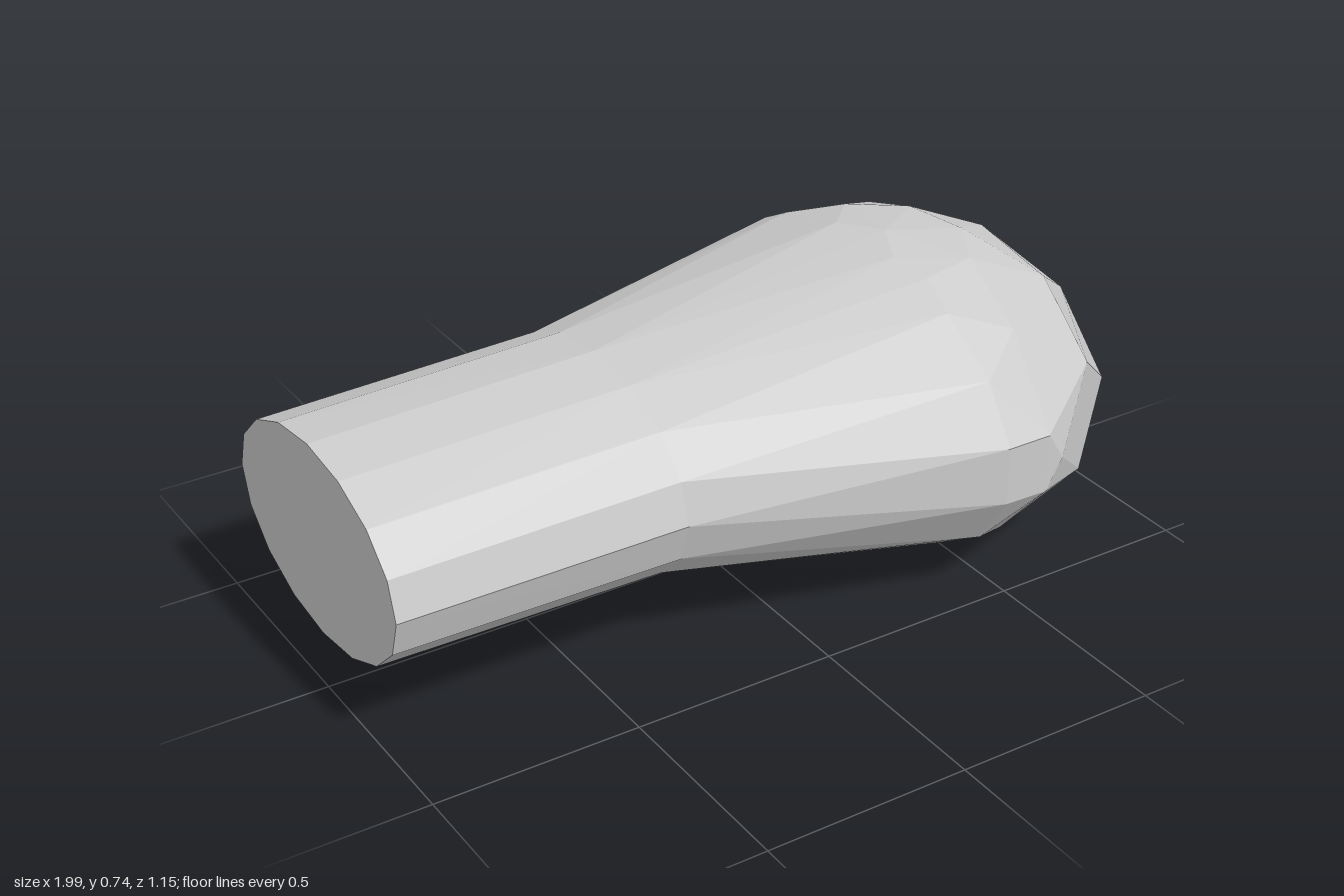
import * as THREE from 'three';
import { ConvexGeometry } from 'three/addons/geometries/ConvexGeometry.js';

const rad = THREE.MathUtils.degToRad;

// Elliptical ring of 16 points across the x axis
function ring(x, y, ry, z, rz, offset = 0) {
  return Array.from({ length: 16 }, (_, i) => {
    const a = rad(i * 22.5 + offset);
    return new THREE.Vector3(x, y + ry * Math.sin(a), z + rz * Math.cos(a));
  });
}

// Rounded head: staggered rings of eight points on a squashed sphere
function headPoints() {
  const points = [new THREE.Vector3(0.49, 0.74, 0), new THREE.Vector3(0.49, 0.003, 0)];
  [-67.5, -45, -22.5, 0, 22.5, 45, 67.5].forEach((lat, row) => {
    const offset = row % 2 ? -11.25 : 11.25;
    const r = Math.cos(rad(lat));
    for (let i = 0; i < 8; i++) {
      const a = rad(i * 45 + offset);
      const x = 0.49 + 0.51 * r * Math.cos(a);
      if (x < 0.4) continue; // the neck taper takes over here
      points.push(new THREE.Vector3(x, 0.371 + 0.372 * Math.sin(rad(lat)), 0.578 * r * Math.sin(a)));
    }
  });
  // Widest ring where the taper meets the head, and its flat side edges
  points.push(...ring(0.43, 0.371, 0.366, 0, 0.583, 11.25));
  for (const z of [-0.575, 0.575])
    for (const y of [0.3, 0.445]) points.push(new THREE.Vector3(0.54, y, z));
  return points;
}

export function createModel() {
  const group = new THREE.Group();
  const material = new THREE.MeshStandardMaterial({ color: 0xcccccc, flatShading: true });
  const add = (name, points) => {
    const mesh = new THREE.Mesh(new ConvexGeometry(points), material);
    mesh.name = name;
    group.add(mesh);
  };

  const neck = ring(-0.3, 0.386, 0.254, -0.008, 0.395);
  const end = ring(-1, 0.382, 0.238, -0.004, 0.386);

  add('shaft', [...end, ...neck]);
  add('head', [...neck, ...headPoints()]);
  return group;
}
